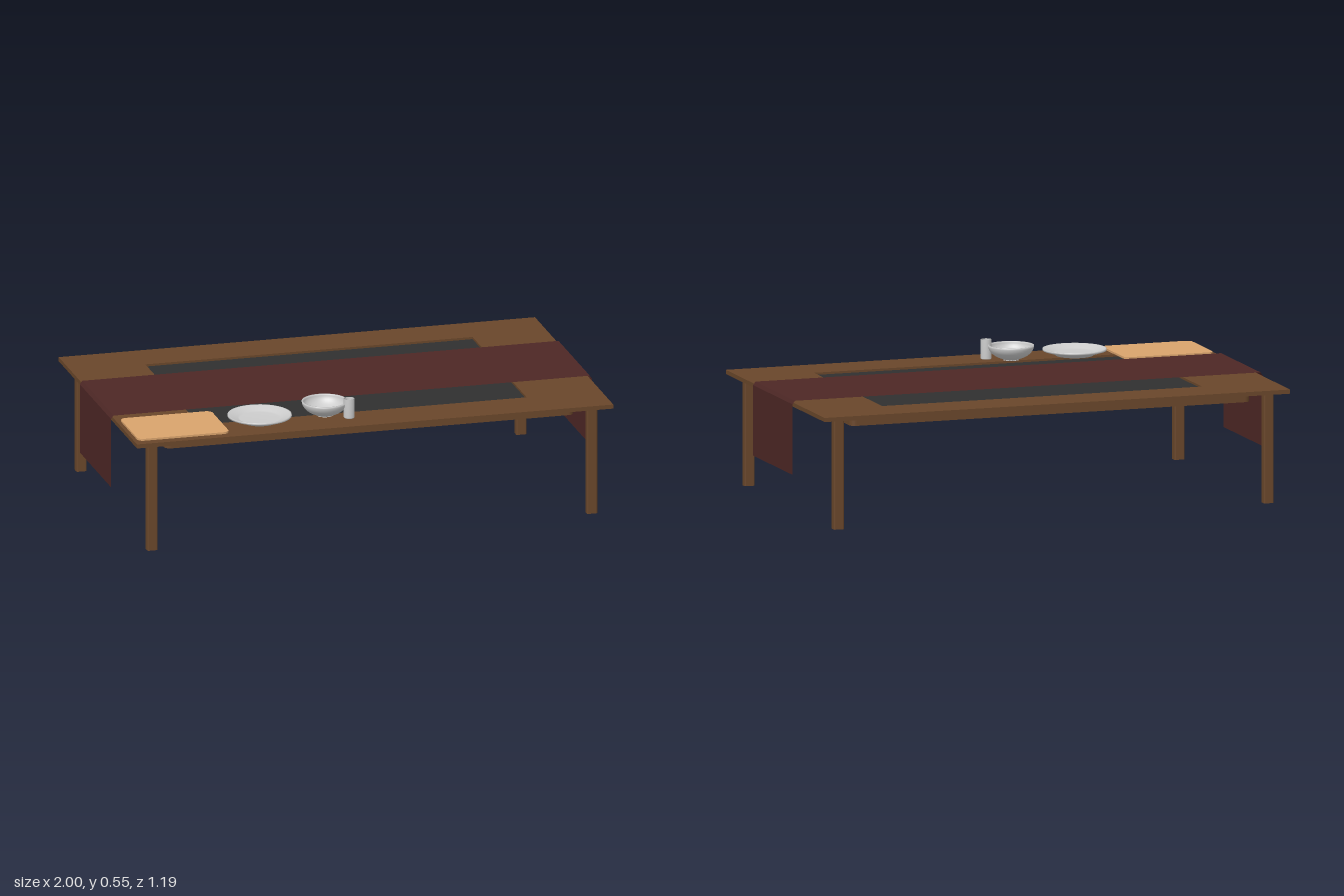
import * as THREE from 'three';

const mat = (color, side = THREE.FrontSide) => new THREE.MeshStandardMaterial({ color, side });

function add(parent, name, geometry, material, x = 0, y = 0, z = 0) {
  const mesh = new THREE.Mesh(geometry, material);
  mesh.name = name;
  mesh.position.set(x, y, z);
  parent.add(mesh);
  return mesh;
}

// Rectangle outline centred on the origin, with rounded corners when r > 0
function rect(w, d, r, Kind = THREE.Shape) {
  const x = w / 2, y = d / 2, s = new Kind();
  if (r === 0) {
    s.moveTo(-x, -y).lineTo(x, -y).lineTo(x, y).lineTo(-x, y).closePath();
    return s;
  }
  s.absarc(x - r, y - r, r, 0, Math.PI / 2);
  s.absarc(-x + r, y - r, r, Math.PI / 2, Math.PI);
  s.absarc(-x + r, -y + r, r, Math.PI, Math.PI * 1.5);
  s.absarc(x - r, -y + r, r, Math.PI * 1.5, Math.PI * 2);
  s.closePath();
  return s;
}

// Extrude a plan outline upwards
function slab(shape, height, curveSegments = 4) {
  return new THREE.ExtrudeGeometry(shape, { depth: height, bevelEnabled: false, curveSegments })
    .rotateX(-Math.PI / 2);
}

// Lathe from [radius, height] pairs
const turned = (points) =>
  new THREE.LatheGeometry(points.map(([r, y]) => new THREE.Vector2(r, y)), 40);

export function createModel() {
  const table = new THREE.Group();
  table.name = 'diningTable';
  const wood = mat(0x69462a);
  const cloth = mat(0x4d2725, THREE.DoubleSide);
  const china = mat(0xcccccc, THREE.DoubleSide);

  // Table top: base board, raised border and recessed dark panel
  add(table, 'topBoard', new THREE.BoxGeometry(1.98, 0.006, 1.188), wood, 0, 0.451, 0);
  const border = rect(1.98, 1.188, 0);
  border.holes.push(rect(1.36, 0.82, 0, THREE.Path));
  add(table, 'topBorder', slab(border, 0.011), wood, 0, 0.454, 0);
  add(table, 'insetPanel', new THREE.BoxGeometry(1.36, 0.002, 0.82), mat(0x303030), 0, 0.455, 0);

  // Apron: a rounded ring under the top
  const apron = rect(1.7, 1.03, 0.025);
  apron.holes.push(rect(1.65, 0.98, 0.012, THREE.Path));
  add(table, 'apron', slab(apron, 0.038), wood, 0, 0.41, 0);

  // Four legs with softened corners
  const legGeometry = slab(rect(0.043, 0.035, 0.006), 0.448, 2);
  for (const x of [-0.914, 0.914])
    for (const z of [-0.537, 0.537]) add(table, 'leg', legGeometry, wood, x, 0, z);

  // Runner: a thin sheet folded down over both ends
  const profile = [[-1, 0.175], [-1, 0.462], [-0.99, 0.476], [0.99, 0.476], [1, 0.462], [1, 0.175]];
  const positions = [];
  for (let i = 0; i < profile.length - 1; i++) {
    const [ax, ay] = profile[i], [bx, by] = profile[i + 1], w = 0.237;
    positions.push(ax, ay, -w, ax, ay, w, bx, by, w, ax, ay, -w, bx, by, w, bx, by, -w);
  }
  const runner = new THREE.BufferGeometry();
  runner.setAttribute('position', new THREE.Float32BufferAttribute(positions, 3));
  runner.computeVertexNormals();
  add(table, 'runner', runner, cloth);

  // Place setting
  const setting = new THREE.Group();
  setting.name = 'placeSetting';
  table.add(setting);
  add(setting, 'placemat', slab(rect(0.38, 0.285, 0.025), 0.008), mat(0xd9a36c), -0.785, 0.467, 0.418);

  add(setting, 'plate', turned([
    [0, 0], [0.075, 0], [0.082, 0.006], [0.129, 0.021], [0.129, 0.028],
    [0.124, 0.028], [0.088, 0.014], [0.08, 0.01], [0, 0.01],
  ]), china, -0.436, 0.468, 0.432);

  // Bowl: outer curve up, inner curve back down
  const arc = (r, h, y0, n = 10) => Array.from({ length: n + 1 }, (_, i) => {
    const a = 0.35 + (i / n) * (Math.PI / 2 - 0.35);
    return [r * Math.sin(a), y0 + h * (1 - Math.cos(a))];
  });
  add(setting, 'bowl', turned([
    [0, 0], [0.033, 0], ...arc(0.093, 0.06, 0), ...arc(0.087, 0.054, 0.006).reverse(), [0, 0.006],
  ]), china, -0.163, 0.467, 0.424);

  // Cup: straight and open at the top
  add(setting, 'cup', turned([
    [0, 0], [0.02, 0], [0.022, 0.003], [0.022, 0.08], [0.019, 0.08], [0.019, 0.006], [0, 0.006],
  ]), china, -0.077, 0.466, 0.48);

  return table;
}
